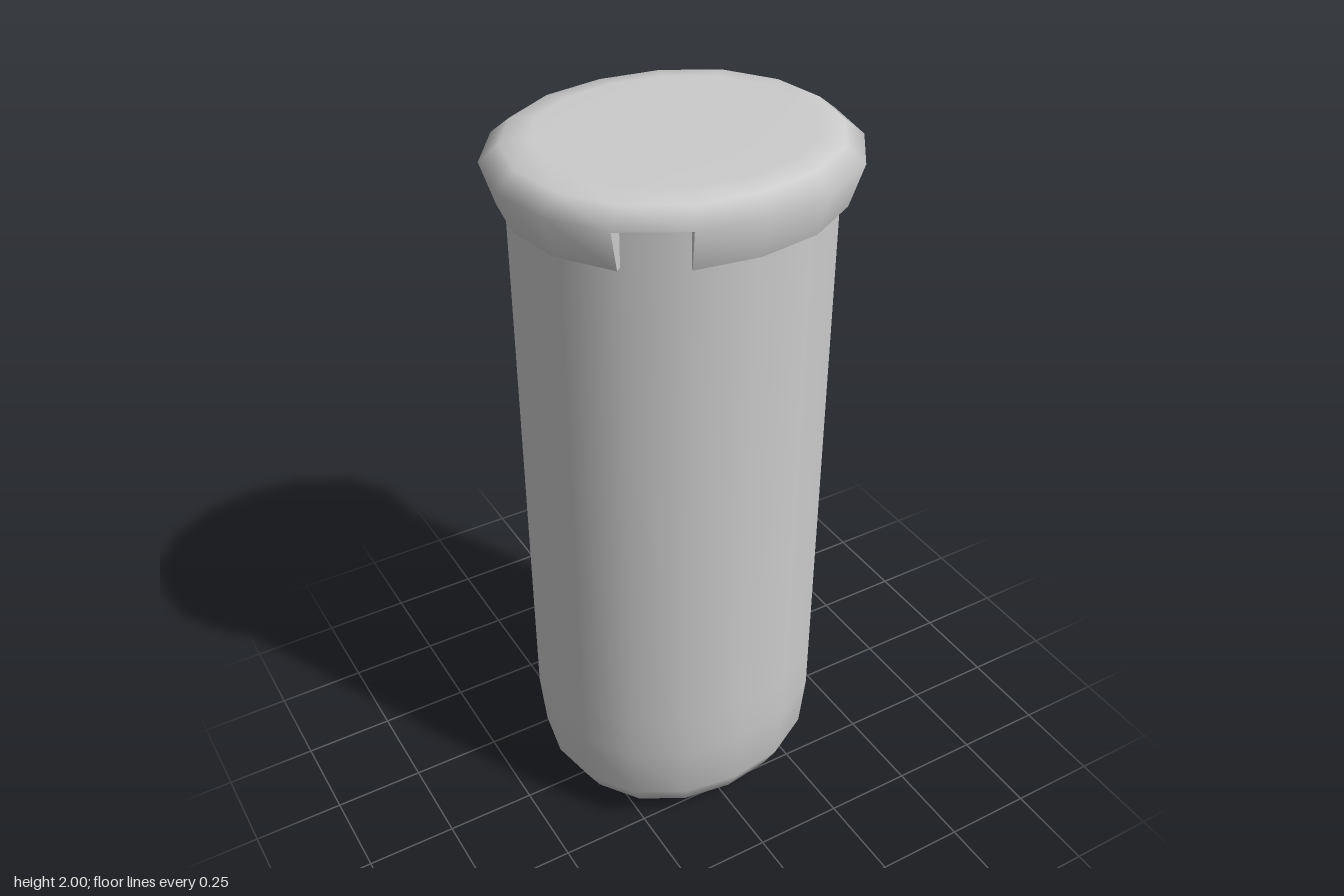
import * as THREE from 'three';

const SIDES = 16;
const STEP = (Math.PI * 2) / SIDES;
const NOTCH = 14; // segment of the lid skirt that is cut out
const pts = (list) => list.map(([r, y]) => new THREE.Vector2(r, y));

// Turn a round geometry into the slightly squared oval of the container
function oval(geometry) {
  const p = geometry.attributes.position;
  for (let i = 0; i < p.count; i++) {
    const x = p.getX(i), z = p.getZ(i);
    const s = Math.sin(2 * Math.atan2(x, z));
    const k = 1 + 0.025 * s * s;
    p.setX(i, x * k);
    p.setZ(i, z * k);
  }
  return geometry.scale(1, 1, 0.9);
}

function turned(profile, first = 0, count = SIDES) {
  return new THREE.LatheGeometry(pts(profile), count, first * STEP, count * STEP);
}

export function createModel() {
  const group = new THREE.Group();
  const material = new THREE.MeshStandardMaterial({ color: 0xcccccc, side: THREE.DoubleSide });
  const add = (name, geometry, parent = group) => {
    const mesh = new THREE.Mesh(oval(geometry), material);
    mesh.name = name;
    parent.add(mesh);
  };

  // Body: softly domed base, straight wall running up inside the lid
  add('body', turned([
    [0, 0], [0.15, 0.008], [0.28, 0.03], [0.348, 0.065], [0.39, 0.137],
    [0.405, 0.3], [0.405, 0.43], [0.405, 1.7], [0.405, 1.95],
  ]));

  const lid = new THREE.Group();
  lid.name = 'lid';
  group.add(lid);

  // Lid shell: flared skirt, bevelled rim and nearly flat top
  const profile = [[0.425, 1.84], [0.46, 1.95], [0.41, 1.99], [0.34, 2], [0, 1.997]];
  const shell = turned(profile);
  const bands = profile.length - 1;
  const index = Array.from(shell.index.array);
  index.splice(NOTCH * bands * 6, 6); // open the notch in the skirt band
  shell.setIndex(index);
  add('lidShell', shell, lid);

  // Underside of the skirt, and the ceiling of the notch
  add('skirtUnderside', turned([[0.4, 1.84], [0.425, 1.84]], NOTCH + 1, SIDES - 1), lid);
  add('notchCeiling', turned([[0.4, 1.95], [0.46, 1.95]], NOTCH, 1), lid);

  // Side walls of the notch
  const section = new THREE.Shape(pts([[0.4, 1.84], [0.425, 1.84], [0.46, 1.95], [0.4, 1.95]]));
  for (const edge of [NOTCH, NOTCH + 1]) {
    add('notchWall', new THREE.ShapeGeometry(section).rotateY(edge * STEP - Math.PI / 2), lid);
  }
  return group;
}
